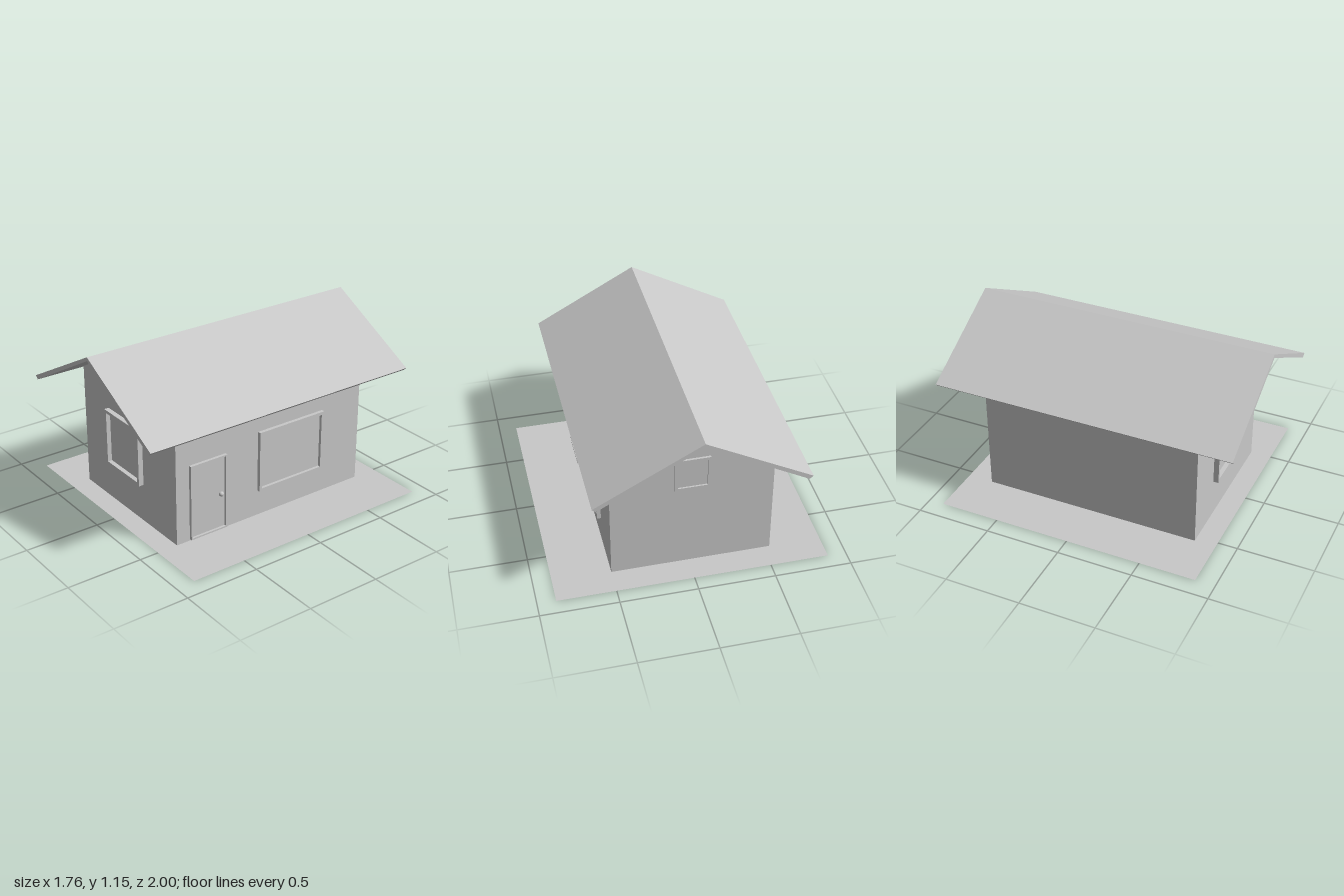
import * as THREE from 'three';

const RIDGE_X = -0.02;

function polygon(points) {
  return new THREE.Shape(points.map(([x, y]) => new THREE.Vector2(x, y)));
}

function rectangle(x0, x1, y0, y1) {
  return [[x0, y0], [x1, y0], [x1, y1], [x0, y1]];
}

function extrude(shape, depth) {
  return new THREE.ExtrudeGeometry(shape, { depth, bevelEnabled: false });
}

export function createModel() {
  const plaster = new THREE.MeshStandardMaterial({ color: 0xc8c8c8, side: THREE.DoubleSide });
  plaster.name = 'light grey';
  const model = new THREE.Group();
  model.name = 'house';

  function add(name, geometry, parent = model) {
    const mesh = new THREE.Mesh(geometry, plaster);
    mesh.name = name;
    parent.add(mesh);
    return mesh;
  }

  // Raised frame around a thin panel; local z points out of the wall
  function framedPanel(name, width, height, border, depth) {
    const group = new THREE.Group();
    group.name = name;
    const w = width / 2, h = height / 2;
    const shape = polygon(rectangle(-w, w, -h, h));
    shape.holes.push(polygon(rectangle(-w + border, w - border, -h + border, h - border)));
    add(name + 'Frame', extrude(shape, depth), group);
    const panel = add(name + 'Panel', new THREE.BoxGeometry(width - 2 * border, height - 2 * border, 0.004), group);
    panel.position.z = 0.002;
    model.add(group);
    return group;
  }

  // Flat plot of ground
  const ground = add('ground', new THREE.PlaneGeometry(1.76, 1.77).rotateX(-Math.PI / 2));
  ground.position.z = -0.015;

  // Walls with gable ends
  const walls = add('walls', extrude(polygon([
    [-0.54, 0], [0.5, 0], [0.5, 0.836], [RIDGE_X, 1.125], [-0.54, 0.836],
  ]), 1.46));
  walls.position.z = -0.73;

  // Folded roof slab with overhangs
  const roof = add('roof', extrude(polygon([
    [-0.667, 0.767], [RIDGE_X, 1.125], [0.627, 0.767],
    [0.65, 0.788], [RIDGE_X, 1.15], [-0.69, 0.788],
  ]), 2));
  roof.position.z = -1;

  // Gable windows
  framedPanel('frontWindow', 0.385, 0.388, 0.02, 0.034).position.set(-0.055, 0.456, 0.73);
  const backWindow = framedPanel('backWindow', 0.225, 0.232, 0.018, 0.015);
  backWindow.position.set(-0.018, 0.716, -0.73);
  backWindow.rotation.y = Math.PI;

  // Side window
  const sideWindow = framedPanel('sideWindow', 0.52, 0.418, 0.02, 0.024);
  sideWindow.position.set(0.5, 0.386, -0.153);
  sideWindow.rotation.y = Math.PI / 2;

  // Side door with round knob
  const door = framedPanel('door', 0.274, 0.515, 0.01, 0.02);
  door.position.set(0.5, 0.268, 0.496);
  door.rotation.y = Math.PI / 2;
  const knob = add('doorKnob', new THREE.SphereGeometry(0.016, 20, 14), door);
  knob.position.set(0.099, -0.013, 0.008);

  return model;
}
